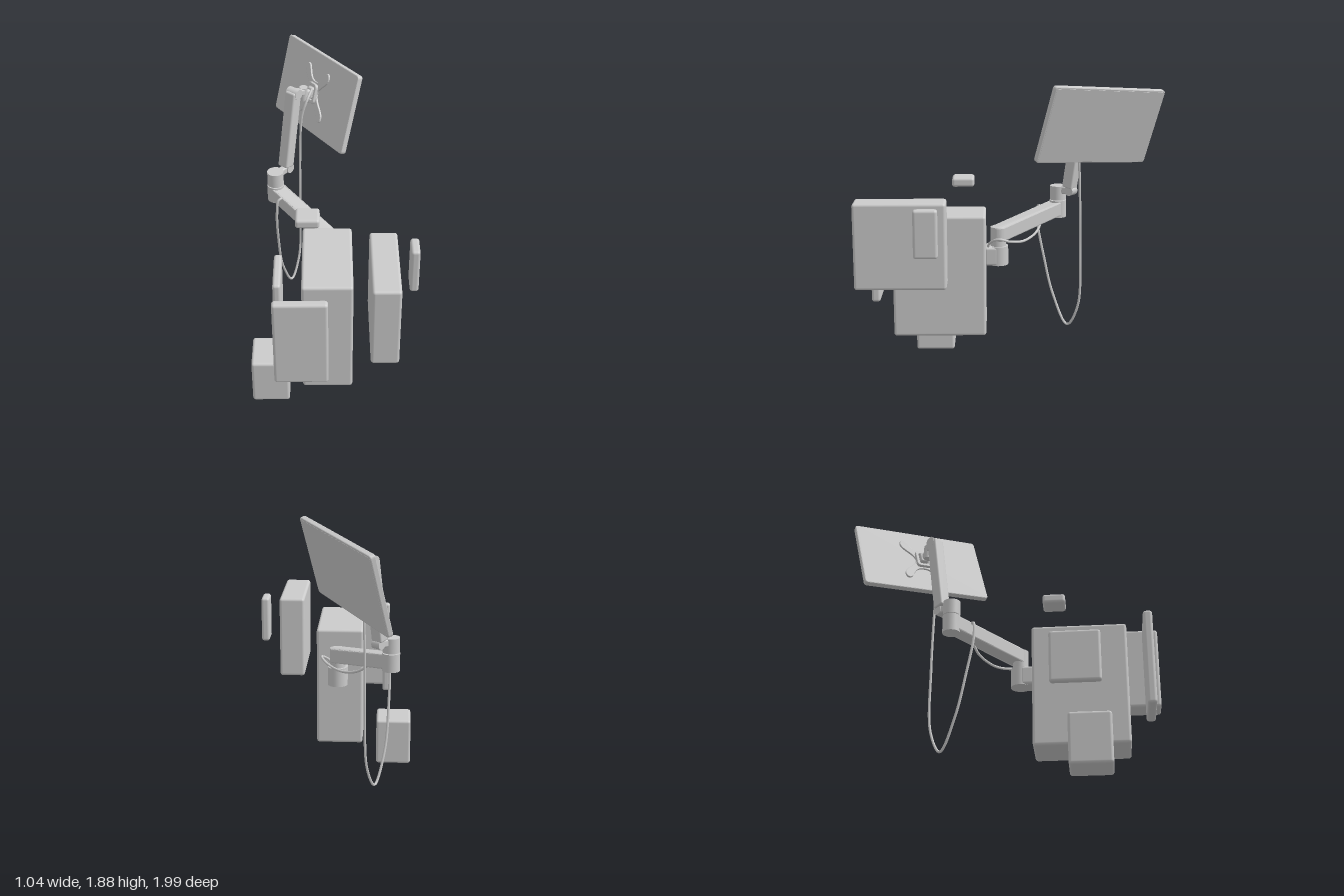
import * as THREE from 'three';
import { RoundedBoxGeometry } from 'three/addons/geometries/RoundedBoxGeometry.js';

const mat = new THREE.MeshStandardMaterial({ color: 0xcccccc });
const V = (x, y, z) => new THREE.Vector3(x, y, z);

function add(parent, name, geometry, x = 0, y = 0, z = 0) {
  const mesh = new THREE.Mesh(geometry, mat);
  mesh.name = name;
  mesh.position.set(x, y, z);
  parent.add(mesh);
  return mesh;
}

// Rounded box given by its limits on each axis
function block(parent, name, [x0, x1], [y0, y1], [z0, z1]) {
  const s = [x1 - x0, y1 - y0, z1 - z0];
  const r = Math.min(0.018, Math.min(...s) * 0.35);
  return add(parent, name, new RoundedBoxGeometry(...s, 3, r), (x0 + x1) / 2, (y0 + y1) / 2, (z0 + z1) / 2);
}

// Upright cylinder between two heights
function post(parent, name, x, z, r, y0, y1) {
  return add(parent, name, new THREE.CylinderGeometry(r, r, y1 - y0, 32), x, (y0 + y1) / 2, z);
}

// Rounded bar from a to b, w wide across, d deep
function bar(parent, name, a, b, w, d, r = 0.012) {
  const dir = b.clone().sub(a), len = dir.length();
  dir.normalize();
  const side = V(0.78, 0, 0.62);
  side.addScaledVector(dir, -side.dot(dir)).normalize();
  const mesh = add(parent, name, new RoundedBoxGeometry(w, len, d, 3, r));
  mesh.position.copy(a).add(b).multiplyScalar(0.5);
  mesh.quaternion.setFromRotationMatrix(new THREE.Matrix4().makeBasis(side, dir, side.clone().cross(dir)));
  return mesh;
}

// Cylinder centred at p with its axis along dir
function pin(parent, name, p, dir, r, len) {
  const mesh = add(parent, name, new THREE.CylinderGeometry(r, r, len, 28), p.x, p.y, p.z);
  mesh.quaternion.setFromUnitVectors(V(0, 1, 0), dir.clone().normalize());
  return mesh;
}

function roundedRect(T, w, h, r) {
  const s = new T(), x = w / 2, y = h / 2;
  s.moveTo(-x + r, -y);
  s.lineTo(x - r, -y).quadraticCurveTo(x, -y, x, -y + r);
  s.lineTo(x, y - r).quadraticCurveTo(x, y, x - r, y);
  s.lineTo(-x + r, y).quadraticCurveTo(-x, y, -x, y - r);
  s.lineTo(-x, -y + r).quadraticCurveTo(-x, -y, -x + r, -y);
  return s;
}

function extrude(shape, depth, bevel = 0.004) {
  return new THREE.ExtrudeGeometry(shape, {
    depth: depth - 2 * bevel, bevelThickness: bevel, bevelSize: bevel, bevelOffset: -bevel,
    bevelSegments: 2, curveSegments: 10
  }).translate(0, 0, bevel);
}

// Lower arm: stadium in plan, sheared so that it rises along its length
function lowerArm(parent, a, b, r, height) {
  const dx = b.x - a.x, dz = b.z - a.z, len = Math.hypot(dx, dz);
  const s = new THREE.Shape();
  s.absarc(len, 0, r, -Math.PI / 2, Math.PI / 2);
  s.absarc(0, 0, r, Math.PI / 2, Math.PI * 1.5);
  s.closePath();
  const g = extrude(s, height, 0.008).rotateX(-Math.PI / 2).translate(0, -height / 2, 0);
  const p = g.attributes.position;
  for (let i = 0; i < p.count; i++) {
    const t = Math.min(1, Math.max(0, p.getX(i) / len));
    p.setY(i, p.getY(i) + t * (b.y - a.y));
  }
  g.computeVertexNormals();
  add(parent, 'lowerArm', g, a.x, a.y, a.z).rotation.y = Math.atan2(-dz, dx);
}

// Flat mounting plate with four rounded lobes
function lobedPlate() {
  const s = new THREE.Shape(), x = 0.14, y = 0.165;
  s.moveTo(0.045, 0);
  s.bezierCurveTo(0.05, 0.06, x, 0.08, x, y - 0.03);
  s.bezierCurveTo(x, y + 0.01, x - 0.035, y + 0.01, x - 0.05, y - 0.015);
  s.bezierCurveTo(0.06, 0.09, 0.04, 0.075, 0, 0.075);
  const quarter = s.getPoints(10), pts = [...quarter];
  const mirror = (sx, sy, rev) => {
    const q = quarter.map(p => new THREE.Vector2(p.x * sx, p.y * sy));
    pts.push(...(rev ? q.reverse() : q).slice(1));
  };
  mirror(-1, 1, true);
  mirror(-1, -1, false);
  mirror(1, -1, true);
  pts.pop();
  return extrude(new THREE.Shape(pts), 0.014, 0.003);
}

export function createModel() {
  const model = new THREE.Group();
  model.name = 'monitorArmSet';

  // Separate blocks and panels
  block(model, 'mainBlock', [-0.19, 0.12], [0.24, 1.04], [0.18, 0.78]);
  block(model, 'frontPanel', [-0.36, -0.03], [0.425, 1.04], [0.88, 0.938]).rotation.z = 0.004;
  block(model, 'lowBlock', [-0.52, -0.28], [0, 0.32], [0.405, 0.665]);
  block(model, 'leftBlock', [0.22, 0.39], [0.635, 1.185], [0.42, 0.995]);
  block(model, 'leftPanel', [0.465, 0.52], [0.87, 1.175], [0.465, 0.615]);
  block(model, 'rightPanel', [-0.37, -0.32], [0.58, 0.92], [0.295, 0.615]);
  block(model, 'topPad', [-0.23, -0.08], [1.19, 1.25], [0.255, 0.4]);

  // Wall mount and lower arm
  const arm = new THREE.Group();
  arm.name = 'arm';
  model.add(arm);
  post(arm, 'mountPost', -0.025, 0.1, 0.065, 0.69, 0.815);
  block(arm, 'mountBracket', [-0.09, 0.04], [0.69, 0.815], [0.1, 0.19]);
  post(arm, 'shoulder', -0.025, 0.1, 0.05, 0.81, 0.94);
  lowerArm(arm, V(-0.025, 0.895, 0.095), V(-0.376, 0.99, -0.305), 0.052, 0.095);
  post(arm, 'elbowBase', -0.376, -0.305, 0.056, 0.925, 1.04);
  post(arm, 'elbowTop', -0.376, -0.305, 0.054, 1.045, 1.14);

  // Hinge and upper arm
  const across = V(0.78, 0, 0.62);
  bar(arm, 'elbowLink', V(-0.37, 1.11, -0.31), V(-0.295, 1.12, -0.39), 0.045, 0.05);
  pin(arm, 'elbowHinge', V(-0.297, 1.12, -0.388), across, 0.032, 0.06);
  bar(arm, 'upperArm', V(-0.308, 1.14, -0.378), V(-0.248, 1.665, -0.445), 0.078, 0.078);
  pin(arm, 'wristHinge', V(-0.245, 1.65, -0.448), across, 0.035, 0.082);
  bar(arm, 'wristLink', V(-0.25, 1.655, -0.445), V(-0.185, 1.635, -0.495), 0.05, 0.045);
  post(arm, 'wristPivot', -0.185, -0.5, 0.027, 1.575, 1.665);
  bar(arm, 'tiltNeck', V(-0.19, 1.622, -0.5), V(-0.125, 1.6, -0.54), 0.04, 0.045);

  // Screen: local -z is its back, where the arm attaches
  const up = V(0.11, 0.5, -0.12).normalize();
  const xAxis = V(-0.45, -0.085, -0.745);
  xAxis.addScaledVector(up, -xAxis.dot(up)).normalize();
  const screen = new THREE.Group();
  screen.name = 'screen';
  screen.position.set(-0.1, 1.59, -0.56);
  screen.quaternion.setFromRotationMatrix(new THREE.Matrix4().makeBasis(xAxis, up, xAxis.clone().cross(up)));
  model.add(screen);
  add(screen, 'screenCase', extrude(roundedRect(THREE.Shape, 0.865, 0.52, 0.022), 0.036, 0.006), 0, 0, -0.018);
  add(screen, 'display', extrude(roundedRect(THREE.Shape, 0.84, 0.495, 0.012), 0.003, 0.001), 0, 0, 0.016);
  add(screen, 'mountPlate', lobedPlate(), 0, 0, -0.03);
  const ring = roundedRect(THREE.Shape, 0.1, 0.13, 0.025);
  ring.holes.push(roundedRect(THREE.Path, 0.06, 0.09, 0.015));
  add(screen, 'mountRing', extrude(ring, 0.022), 0, 0, -0.05);
  add(screen, 'mountHub', new RoundedBoxGeometry(0.05, 0.07, 0.04, 3, 0.01), 0, 0, -0.045);

  // Cable: hangs from the screen in a long loop, then follows the lower arm
  const path = [
    [-0.13, 1.64, -0.52], [-0.16, 1.6, -0.45], [-0.195, 1.5, -0.43], [-0.213, 1.2, -0.44],
    [-0.22, 0.75, -0.45], [-0.235, 0.33, -0.44], [-0.285, 0.18, -0.37], [-0.345, 0.38, -0.275],
    [-0.365, 0.65, -0.21], [-0.367, 0.9, -0.165], [-0.352, 1.005, -0.17], [-0.31, 1.0, -0.195],
    [-0.19, 0.88, -0.165], [-0.07, 0.835, -0.075], [0.04, 0.855, 0.025], [0.08, 0.88, 0.1],
    [0.035, 0.84, 0.16], [0, 0.78, 0.165]
  ].map(p => V(...p));
  add(model, 'cable', new THREE.TubeGeometry(new THREE.CatmullRomCurve3(path), 200, 0.0085, 8));
  return model;
}
